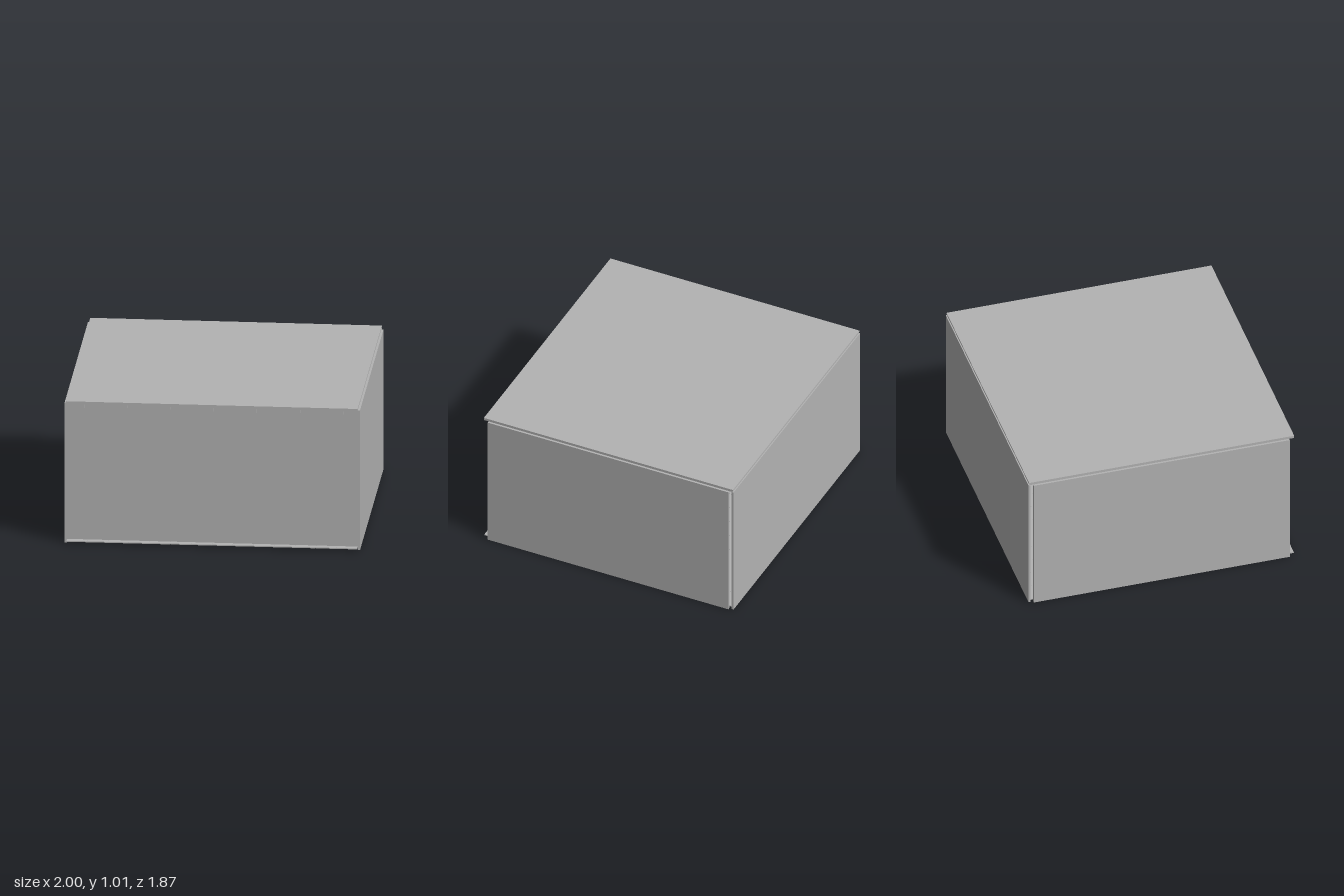
import * as THREE from 'three';

export function createModel() {
  const group = new THREE.Group();
  const grey = new THREE.MeshStandardMaterial({ color: 0xb3b3b3 });
  grey.name = 'plain grey';

  // Box given by its minimum and maximum corners
  const box = (name, [x0, y0, z0], [x1, y1, z1], parent = group) => {
    const mesh = new THREE.Mesh(new THREE.BoxGeometry(x1 - x0, y1 - y0, z1 - z0), grey);
    mesh.position.set((x0 + x1) / 2, (y0 + y1) / 2, (z0 + z1) / 2);
    mesh.name = name;
    parent.add(mesh);
  };

  // Side walls stop short of the back wall, leaving a narrow gap
  box('leftWall', [0.985, 0, -0.9], [1, 0.99, 0.9]);
  box('rightWall', [-1, 0, -0.9], [-0.985, 0.99, 0.9]);
  box('backWall', [-0.987, 0, -0.933], [0.987, 0.99, -0.918]);

  // Front wall, set back behind the floor and roof edges
  box('frontWall', [-0.985, 0.022, 0.875], [0.985, 0.99, 0.89]);

  // Floor boards running front to back, raised off the ground
  const floor = new THREE.Group();
  floor.name = 'floor';
  group.add(floor);
  const boards = 14, width = 1.97 / boards;
  for (let i = 0; i < boards; i++) {
    const x = -0.985 + i * width;
    box('floorBoard', [x, 0.015, -0.918], [x + width - 0.001, 0.022, 0.933], floor);
  }

  // Ceiling beams with ends showing under the roof
  const beams = new THREE.Group();
  beams.name = 'ceilingBeams';
  group.add(beams);
  for (let i = -3; i <= 3; i++) {
    const x = i * 0.292;
    box('beam', [x - 0.011, 0.96, -0.917], [x + 0.011, 0.99, 0.932], beams);
  }

  // Two-layer roof
  box('roofDeck', [-0.985, 0.99, -0.925], [0.985, 1, 0.933]);
  box('roofCover', [-0.987, 1, -0.928], [0.987, 1.01, 0.935]);

  return group;
}
